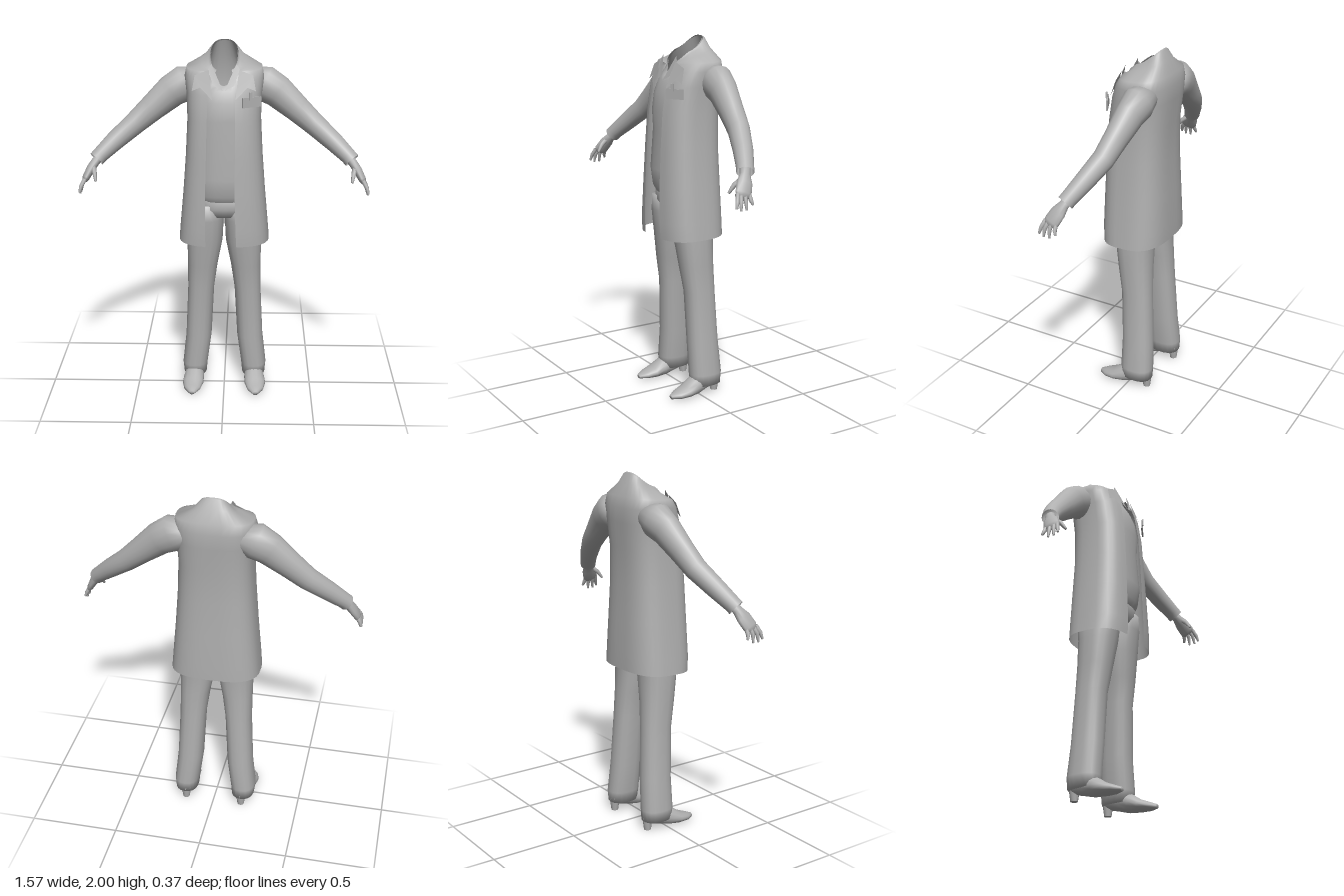
import * as THREE from 'three';

const grey = new THREE.MeshStandardMaterial({ color: 0xb0b0b0, side: THREE.DoubleSide });
grey.name = 'cloth grey';

const V = (x, y, z) => new THREE.Vector3(x, y, z);
const spow = (v, p) => Math.sign(v) * Math.abs(v) ** p;

// Skin a list of rings; closed rings wrap round, caps close the ends
function loft(rings, closed = true, capStart = false, capEnd = false) {
  const n = rings[0].length, pts = rings.flat(), idx = [];
  const span = closed ? n : n - 1;
  for (let i = 0; i < rings.length - 1; i++) {
    for (let j = 0; j < span; j++) {
      const a = i * n + j, b = i * n + (j + 1) % n;
      idx.push(a, b, b + n, a, b + n, a + n);
    }
  }
  const cap = (r, flip) => {
    const c = pts.length, s = r * n;
    pts.push(rings[r].reduce((m, q) => m.add(q), V(0, 0, 0)).divideScalar(n));
    for (let j = 0; j < n; j++) {
      const a = s + j, b = s + (j + 1) % n;
      flip ? idx.push(c, b, a) : idx.push(c, a, b);
    }
  };
  if (capStart) cap(0, true);
  if (capEnd) cap(rings.length - 1, false);
  const g = new THREE.BufferGeometry().setFromPoints(pts);
  g.setIndex(idx);
  g.computeVertexNormals();
  return g;
}

// Limb through nodes [x, y, z, radius along ref, radius across]
function limb(nodes, ref, n = 12, capStart = true, capEnd = true) {
  const c = nodes.map(k => V(k[0], k[1], k[2]));
  const rings = nodes.map((k, i) => {
    const d = c[Math.min(i + 1, c.length - 1)].clone().sub(c[Math.max(i - 1, 0)]).normalize();
    const u = ref.clone().addScaledVector(d, -ref.dot(d)).normalize();
    const w = d.clone().cross(u);
    return Array.from({ length: n }, (_, j) => {
      const t = j / n * Math.PI * 2;
      return c[i].clone().addScaledVector(u, k[3] * Math.cos(t)).addScaledVector(w, k[4] * Math.sin(t));
    });
  });
  return loft(rings, true, capStart, capEnd);
}

// Rounded horizontal section; theta 0 is the front, drop lowers the front
function point(t, [y, hw, zf, zb, drop = 0, vee = 0], p, cx = 0) {
  const c = Math.cos(t);
  return V(cx + hw * spow(Math.sin(t), p), y - drop * c - vee * Math.max(0, c) ** 4,
    (zf + zb) / 2 + (zf - zb) / 2 * spow(c, p));
}
const ring = (s, p, n, cx) => Array.from({ length: n }, (_, j) => point(j / n * Math.PI * 2, s, p, cx));

function mirrored(g) {
  const m = g.clone().scale(-1, 1, 1), a = m.index.array;
  for (let i = 0; i < a.length; i += 3) [a[i], a[i + 1]] = [a[i + 1], a[i]];
  m.computeVertexNormals();
  return m;
}

export function createModel() {
  const group = new THREE.Group();
  const add = (name, g) => {
    const m = new THREE.Mesh(g, grey);
    m.name = name;
    group.add(m);
    return m;
  };
  const pair = (name, g) => {
    add('left' + name, g);
    add('right' + name, mirrored(g));
  };

  // Long open coat: section, then left and right opening x
  const coat = [
    [[0.915, 0.25, 0.18, -0.18, 0.008], 0.07, 0.10],
    [[1.0, 0.243, 0.185, -0.18], 0.065, 0.10],
    [[1.2, 0.225, 0.18, -0.175], 0.06, 0.10],
    [[1.4, 0.21, 0.172, -0.168], 0.06, 0.095],
    [[1.6, 0.2, 0.16, -0.172], 0.06, 0.09],
    [[1.74, 0.205, 0.135, -0.187], 0.06, 0.085],
    [[1.82, 0.215, 0.105, -0.188], 0.065, 0.08],
    [[1.868, 0.205, 0.08, -0.178, 0.01], 0.065, 0.07],
    [[1.9, 0.12, 0.085, -0.145, 0.045], 0.05, 0.05],
    [[1.92, 0.085, 0.075, -0.125, 0.075], 0.045, 0.045],
    [[1.93, 0.076, 0.07, -0.115, 0.07], 0.04, 0.04],
  ];
  add('coat', loft(coat.map(([s, l, r]) => {
    const p = 0.7, open = x => Math.asin((x / s[1]) ** (1 / p));
    const a = open(l), b = Math.PI * 2 - open(r);
    return Array.from({ length: 33 }, (_, j) => point(a + (b - a) * j / 32, s, p));
  }), false));

  // Shirt with a V neck
  add('shirt', loft([
    [1.145, 0.16, 0.125, -0.13], [1.18, 0.17, 0.145, -0.14], [1.28, 0.175, 0.16, -0.145],
    [1.5, 0.17, 0.143, -0.15], [1.6, 0.17, 0.15, -0.15], [1.7, 0.17, 0.135, -0.16],
    [1.78, 0.15, 0.112, -0.16, 0.02], [1.86, 0.1, 0.095, -0.14, 0.05, 0.025],
    [1.925, 0.072, 0.075, -0.112, 0.07, 0.075],
  ].map(s => ring(s, 0.85, 28))));

  // Shirt collar leaves beside the V
  pair('ShirtCollar', leaf([[0.005, 1.765], [0.055, 1.79], [0.085, 1.87], [0.066, 1.9]], 0.006));

  // Coat lapels with a notch
  pair('Lapel', leaf([[0.062, 1.72], [0.125, 1.78], [0.17, 1.76], [0.155, 1.84], [0.08, 1.87]], 0.012));

  // Trousers
  add('trouserSeat', loft([
    [1.05, 0.14, 0.1, -0.12], [1.1, 0.18, 0.125, -0.14], [1.2, 0.165, 0.125, -0.135],
  ].map(s => ring(s, 0.85, 24)), true, true, true));
  const leg = [
    [1.12, 0.088, 0.12, -0.13, 0.095], [1.03, 0.1, 0.118, -0.13, 0.102],
    [0.9, 0.1, 0.1, -0.115, 0.108], [0.75, 0.085, 0.08, -0.115, 0.122],
    [0.6, 0.075, 0.056, -0.12, 0.133], [0.3, 0.074, 0.045, -0.135, 0.148],
    [0.12, 0.072, 0.045, -0.145, 0.17], [0.055, 0.066, 0.035, -0.14, 0.17],
  ].reverse();
  pair('TrouserLeg', loft(leg.map(s => ring(s.slice(0, 4), 0.85, 18, s[4])), true, true, true));

  // Pointed shoes with a small heel
  pair('Shoe', limb([
    [0.166, 0.085, -0.135, 0.03, 0.025], [0.167, 0.08, -0.1, 0.043, 0.045],
    [0.17, 0.073, -0.03, 0.048, 0.055], [0.175, 0.052, 0.03, 0.058, 0.05],
    [0.18, 0.034, 0.085, 0.06, 0.034], [0.182, 0.024, 0.14, 0.046, 0.023],
    [0.182, 0.018, 0.183, 0.016, 0.012],
  ], V(1, 0, 0), 14));
  pair('ShoeHeel', new THREE.CylinderGeometry(0.03, 0.02, 0.075, 10).translate(0.167, 0.0375, -0.112));

  // Sleeves, open at the cuff
  const Z = V(0, 0, 1);
  pair('Sleeve', limb([
    [0.15, 1.79, -0.09, 0.075, 0.07], [0.215, 1.765, -0.085, 0.085, 0.1],
    [0.29, 1.722, -0.077, 0.073, 0.09], [0.4, 1.628, -0.058, 0.062, 0.073],
    [0.49, 1.55, -0.04, 0.058, 0.062], [0.6, 1.46, 0.008, 0.052, 0.053],
    [0.675, 1.393, 0.048, 0.046, 0.044], [0.695, 1.372, 0.06, 0.046, 0.044],
  ], Z, 16, true, false));

  // Hands: palm, four fingers and a thumb
  pair('Palm', limb([
    [0.67, 1.395, 0.045, 0.028, 0.025], [0.7, 1.36, 0.066, 0.028, 0.024],
    [0.725, 1.325, 0.085, 0.044, 0.024], [0.75, 1.28, 0.108, 0.046, 0.02],
    [0.758, 1.262, 0.115, 0.038, 0.013],
  ], Z, 12));
  const fingers = [[0.145, 0.168, 1.212], [0.125, 0.142, 1.2], [0.103, 0.108, 1.2], [0.08, 0.07, 1.222]];
  fingers.forEach(([z0, z1, y1], i) => pair('Finger' + (i + 1), limb([
    [0.75, 1.282, z0, 0.011, 0.012], [0.772, 1.245, (z0 + z1) / 2 + 0.003, 0.011, 0.011],
    [0.78, y1, z1, 0.006, 0.006],
  ], Z, 7)));
  pair('Thumb', limb([
    [0.71, 1.345, 0.09, 0.014, 0.014], [0.7, 1.315, 0.13, 0.013, 0.013],
    [0.692, 1.275, 0.158, 0.007, 0.007],
  ], Z, 7));

  // Name badge clipped to the left chest
  const badge = new THREE.Group();
  badge.name = 'badge';
  const plate = (name, w, h, x, y, z) => {
    const m = new THREE.Mesh(new THREE.BoxGeometry(w, h, 0.008), grey);
    m.name = name;
    m.position.set(x, y, z);
    badge.add(m);
  };
  plate('badgePlate', 0.108, 0.054, 0, 0, 0);
  plate('badgeClip', 0.016, 0.04, -0.01, 0.034, 0.006);
  badge.position.set(0.148, 1.708, 0.136);
  badge.rotation.y = 0.46;
  group.add(badge);

  return group;
}

// Flat cloth leaf laid over the curve of the chest
function leaf(outline, lift) {
  const g = new THREE.ShapeGeometry(new THREE.Shape(outline.map(([x, y]) => new THREE.Vector2(x, y))));
  const p = g.attributes.position;
  for (let i = 0; i < p.count; i++) {
    const x = p.getX(i), y = p.getY(i);
    p.setZ(i, 0.16 - (y - 1.65) * 0.35 - x * x + lift);
  }
  g.computeVertexNormals();
  return g;
}
